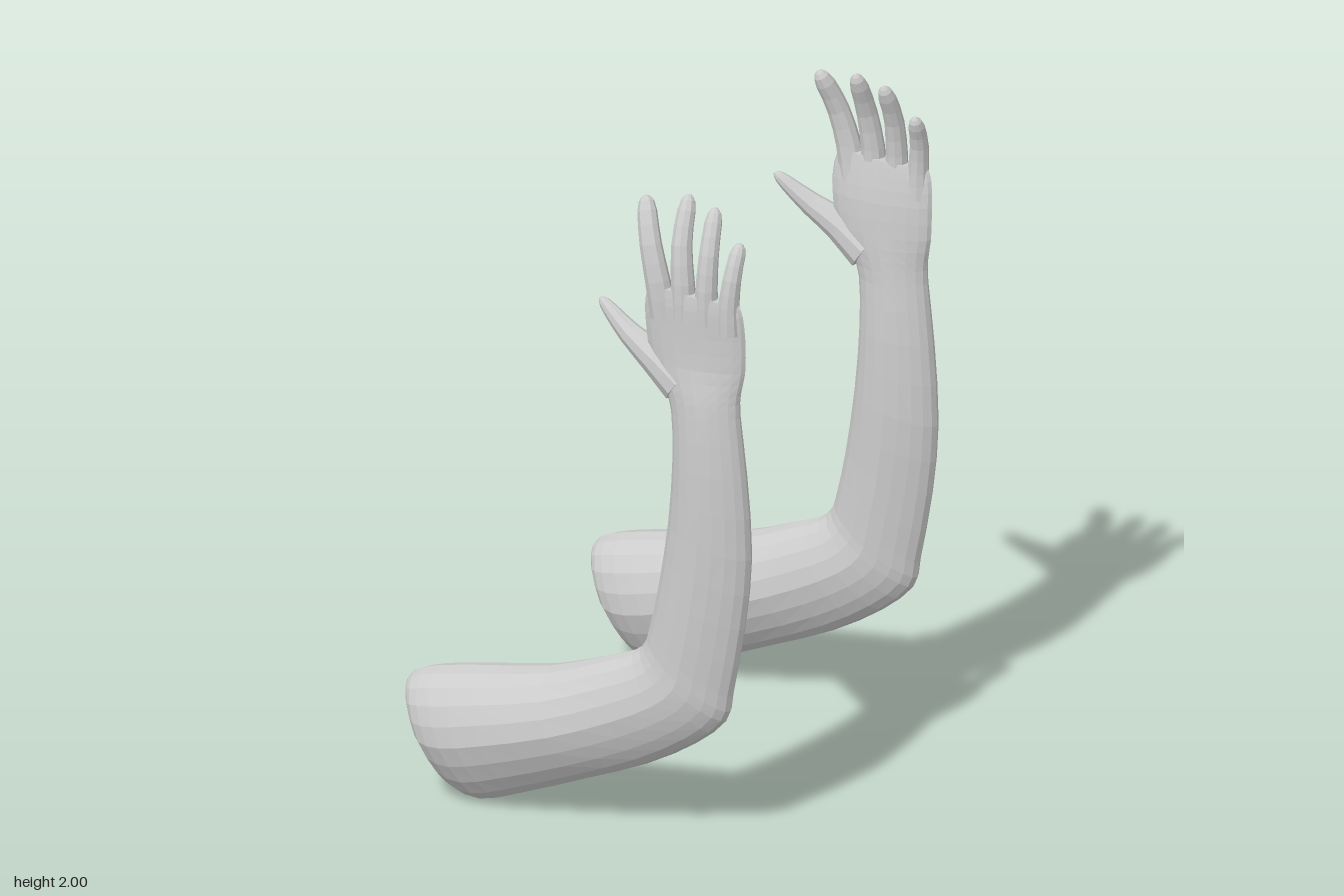
import * as THREE from 'three';

const SIDES = 20;
const material = new THREE.MeshStandardMaterial({ color: 0xcccccc, flatShading: true });

// Closed skin over rings { c, u, v }: centre and the two half-axes; side -1 mirrors it in z
function loft(name, rings, side, sides, pinch = 0) {
  const pos = [], idx = [], n = rings.length;
  for (const { c, u, v } of rings) {
    for (let j = 0; j < sides; j++) {
      const a = (j / sides) * Math.PI * 2;
      const cos = Math.cos(a), sin = Math.sin(a) * (1 + pinch * Math.min(0, cos));
      const p = c.clone().addScaledVector(u, cos).addScaledVector(v, sin);
      pos.push(p.x, p.y, p.z * side);
    }
  }
  for (const r of [rings[0], rings[n - 1]]) pos.push(r.c.x, r.c.y, r.c.z * side);
  const tri = (a, b, c) => (side > 0 ? idx.push(a, b, c) : idx.push(a, c, b));
  for (let j = 0; j < sides; j++) {
    const k = (j + 1) % sides;
    for (let i = 0; i < n - 1; i++) {
      const lo = i * sides, hi = lo + sides;
      tri(lo + j, lo + k, hi + k);
      tri(lo + j, hi + k, hi + j);
    }
    const last = (n - 1) * sides;
    tri(n * sides, k, j);
    tri(n * sides + 1, last + j, last + k);
  }
  const geo = new THREE.BufferGeometry();
  geo.setAttribute('position', new THREE.Float32BufferAttribute(pos, 3));
  geo.setIndex(idx);
  geo.computeVertexNormals();
  const mesh = new THREE.Mesh(geo, material);
  mesh.name = name;
  return mesh;
}

// Arm sections from shoulder to knuckles: inner edge x, y, outer edge x, y, half depth, centre z
const ARM = [
  [-0.56, 0.345, -0.45, 0.09, 0.09, 0.575],
  [-0.54, 0.365, -0.40, 0.025, 0.125, 0.575],
  [-0.47, 0.39, -0.31, 0.005, 0.15, 0.575],
  [-0.32, 0.42, -0.19, 0.045, 0.157, 0.575],
  [-0.10, 0.46, 0.02, 0.13, 0.143, 0.575],
  [0.08, 0.525, 0.22, 0.215, 0.115, 0.575],
  [0.18, 0.565, 0.38, 0.31, 0.096, 0.577],
  [0.215, 0.60, 0.48, 0.40, 0.086, 0.58],
  [0.235, 0.66, 0.50, 0.48, 0.083, 0.58],
  [0.265, 0.80, 0.54, 0.70, 0.083, 0.58],
  [0.295, 1.00, 0.56, 0.92, 0.083, 0.578],
  [0.31, 1.20, 0.545, 1.17, 0.078, 0.58],
  [0.305, 1.35, 0.525, 1.36, 0.066, 0.582],
  [0.28, 1.42, 0.527, 1.43, 0.06, 0.58],
  [0.232, 1.50, 0.54, 1.50, 0.052, 0.576],
  [0.215, 1.60, 0.542, 1.60, 0.046, 0.578],
  [0.217, 1.68, 0.537, 1.68, 0.038, 0.585],
  [0.235, 1.735, 0.525, 1.715, 0.03, 0.588],
];

function armRings() {
  const curve = (f) => new THREE.CatmullRomCurve3(ARM.map(f), false, 'catmullrom', 0.5);
  const inner = curve((s) => new THREE.Vector3(s[0], s[1], s[5]));
  const outer = curve((s) => new THREE.Vector3(s[2], s[3], s[5]));
  const depth = curve((s) => new THREE.Vector3(s[4], 0, 0));
  const steps = (ARM.length - 1) * 2;
  return Array.from({ length: steps + 1 }, (_, i) => {
    const t = i / steps, a = inner.getPoint(t), b = outer.getPoint(t);
    return {
      c: a.clone().add(b).multiplyScalar(0.5),
      u: a.clone().sub(b).multiplyScalar(0.5),
      v: new THREE.Vector3(0, 0, depth.getPoint(t).x),
    };
  });
}

// Digits: path points from root to tip, root radius, tip radius
const DIGITS = {
  thumb: [[[0.33, 1.43, 0.575], [0.24, 1.495, 0.572], [0.15, 1.55, 0.56], [0.045, 1.632, 0.54]], 0.064, 0.021],
  indexFinger: [[[0.28, 1.64, 0.588], [0.262, 1.74, 0.592], [0.23, 1.86, 0.58], [0.192, 1.98, 0.535]], 0.042, 0.029],
  middleFinger: [[[0.345, 1.64, 0.588], [0.343, 1.74, 0.59], [0.33, 1.87, 0.572], [0.324, 2.0, 0.515]], 0.04, 0.027],
  ringFinger: [[[0.42, 1.64, 0.588], [0.42, 1.74, 0.59], [0.42, 1.86, 0.572], [0.413, 1.977, 0.52]], 0.037, 0.026],
  littleFinger: [[[0.492, 1.62, 0.585], [0.492, 1.7, 0.588], [0.5, 1.8, 0.578], [0.505, 1.89, 0.54]], 0.036, 0.024],
};

function digitRings([points, rootR, tipR]) {
  const path = new THREE.CatmullRomCurve3(points.map((p) => new THREE.Vector3(...p)));
  // Stations along the digit, closing up at a rounded tip
  return [0, 0.15, 0.3, 0.45, 0.6, 0.75, 0.87, 0.95, 0.985, 1].map((t) => {
    const d = path.getTangentAt(t);
    const round = t > 0.87 ? Math.sqrt(Math.max(0.04, 1 - ((t - 0.87) / 0.13) ** 2)) : 1;
    const r = (rootR + (tipR - rootR) * Math.min(1, t * 1.1)) * round;
    const u = new THREE.Vector3(-d.y, d.x, 0).normalize();
    return { c: path.getPointAt(t), v: d.clone().cross(u).multiplyScalar(r * 0.95), u: u.multiplyScalar(r) };
  });
}

function buildArm(name, side) {
  const arm = new THREE.Group();
  arm.name = name;
  arm.add(loft('armAndPalm', armRings(), side, SIDES, 0.22));
  for (const [digit, spec] of Object.entries(DIGITS)) {
    arm.add(loft(digit, digitRings(spec), side, 10));
  }
  return arm;
}

export function createModel() {
  const model = new THREE.Group();
  model.name = 'pairOfArms';
  model.add(buildArm('frontArm', 1), buildArm('backArm', -1));
  return model;
}
